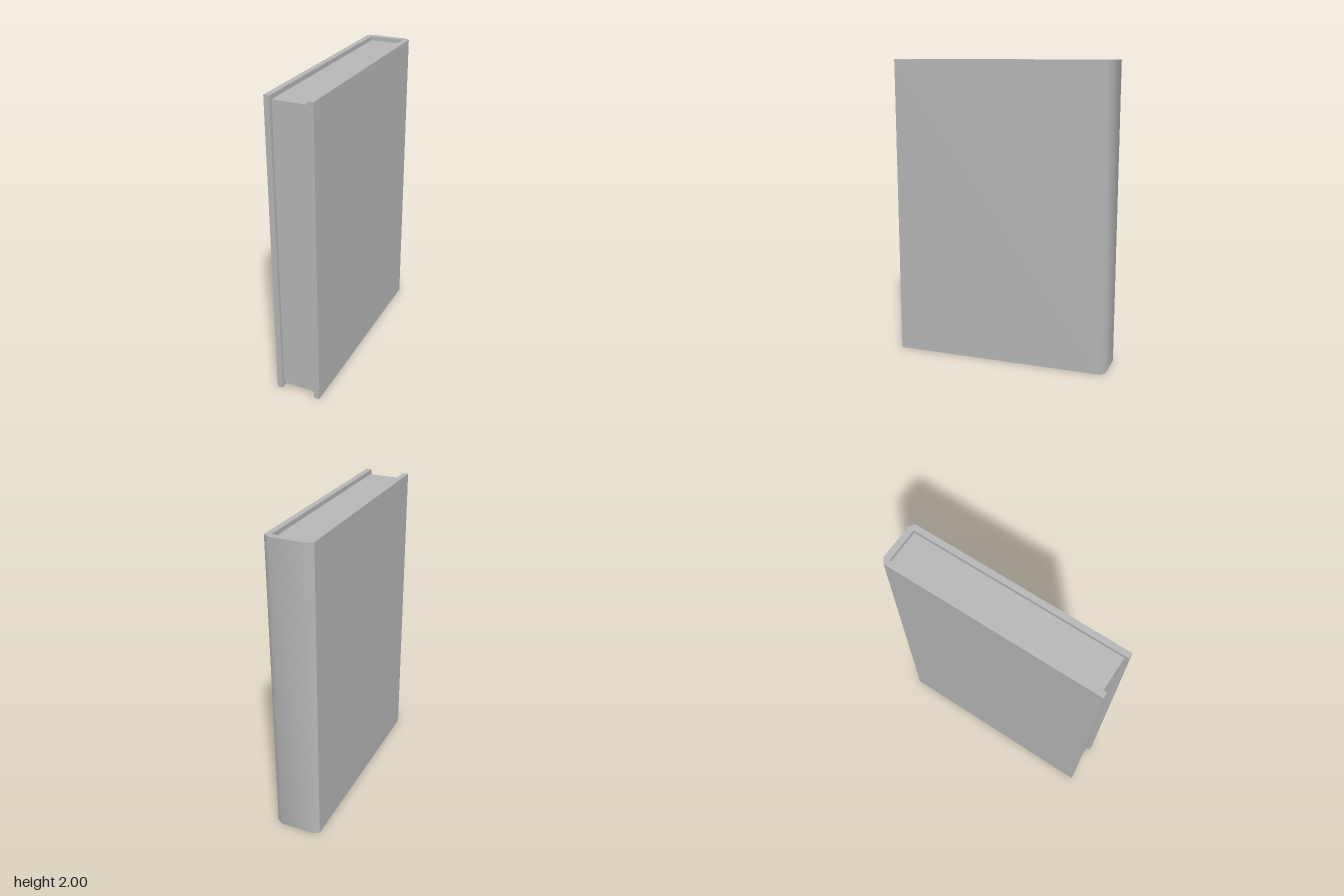
import * as THREE from 'three';
import { toCreasedNormals } from 'three/addons/utils/BufferGeometryUtils.js';

export function createModel() {
  const book = new THREE.Group();
  book.name = 'book';
  const grey = new THREE.MeshStandardMaterial({ color: 0xb8b8b8 });
  grey.name = 'plain grey';

  const halfWidth = 0.152, halfDepth = 0.727, height = 2;
  const innerX = 0.115, innerBack = -0.686, chamferZ = -0.702;

  // Cover: U-shaped section with a bevelled spine, given as [x, z], extruded upwards
  const section = [
    [halfWidth, halfDepth], [halfWidth, chamferZ], [innerX, -halfDepth],
    [-innerX, -halfDepth], [-halfWidth, chamferZ], [-halfWidth, halfDepth],
    [-innerX, halfDepth], [-innerX, innerBack], [innerX, innerBack], [innerX, halfDepth],
  ];
  const shape = new THREE.Shape(section.map(([x, z]) => new THREE.Vector2(x, -z)));
  const coverGeo = new THREE.ExtrudeGeometry(shape, { depth: height, bevelEnabled: false });
  coverGeo.rotateX(-Math.PI / 2);
  // Spine shades smoothly across its bevels, all other edges stay sharp
  const cover = new THREE.Mesh(toCreasedNormals(coverGeo, 0.8), grey);
  cover.name = 'cover';
  book.add(cover);

  // Page block, set back from the top, bottom and front edges of the cover
  const pageFront = 0.703, inset = 0.028;
  const pages = new THREE.Mesh(
    new THREE.BoxGeometry(innerX * 2, height - inset * 2, pageFront - innerBack), grey);
  pages.position.set(0, height / 2, (pageFront + innerBack) / 2);
  pages.name = 'pages';
  book.add(pages);

  return book;
}
